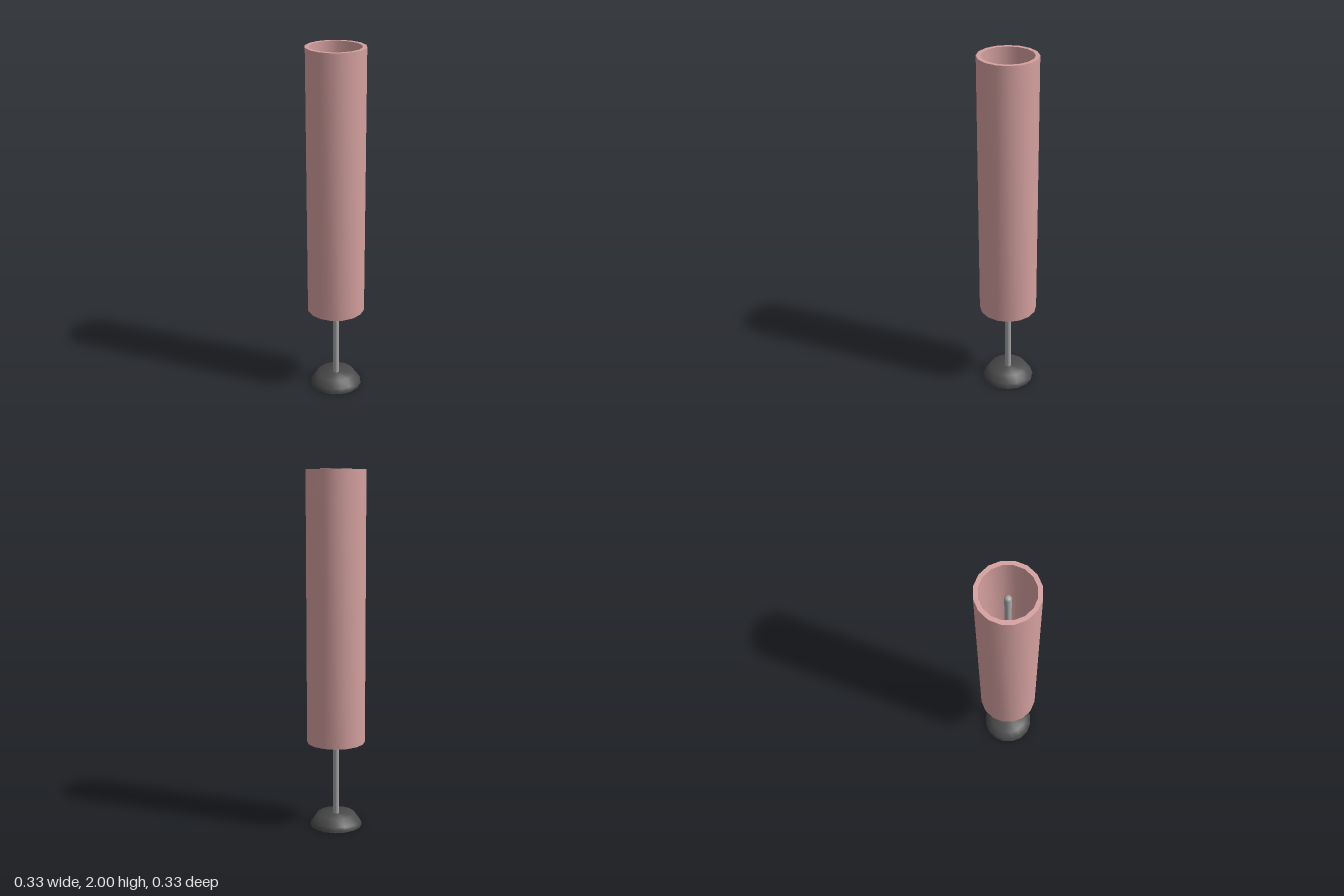
import * as THREE from 'three';
import { toCreasedNormals } from 'three/addons/utils/BufferGeometryUtils.js';

const material = (name, color) => {
  const m = new THREE.MeshStandardMaterial({ color });
  m.name = name;
  return m;
};

// Turns a [radius, height] profile around y, keeping edges sharper than the crease angle
function turned(name, profile, sides, crease, mat) {
  const points = profile.map(([r, y]) => new THREE.Vector2(r, y));
  const mesh = new THREE.Mesh(toCreasedNormals(new THREE.LatheGeometry(points, sides), crease), mat);
  mesh.name = name;
  return mesh;
}

export function createModel() {
  const pink = material('dustyPink', 0xd4a09f);
  const steel = material('steelGrey', 0xa2a2a2);
  const dark = material('darkGrey', 0x4a4a4a);
  const group = new THREE.Group();
  group.name = 'tubeOnStand';

  // Hollow tube, open at both ends
  group.add(turned('tube',
    [[0.14, 0.49], [0.163, 0.49], [0.163, 2], [0.14, 2], [0.14, 0.49]], 16, 0.6, pink));

  // Rod running up inside the tube, with a domed tip
  const r = 0.018, top = 1.93;
  const rod = [[r, 0.06]];
  for (let i = 0; i <= 4; i++) {
    const a = (i / 4) * Math.PI / 2;
    rod.push([i === 4 ? 0 : r * Math.cos(a), top + r * Math.sin(a)]);
  }
  group.add(turned('rod', rod, 16, 0.6, steel));

  // Bevelled foot with a flat underside
  group.add(turned('foot',
    [[0, 0], [0.147, 0], [0.147, 0.01], [0.136, 0.027], [0.107, 0.067], [0, 0.067]], 16, 1.1, dark));

  return group;
}
